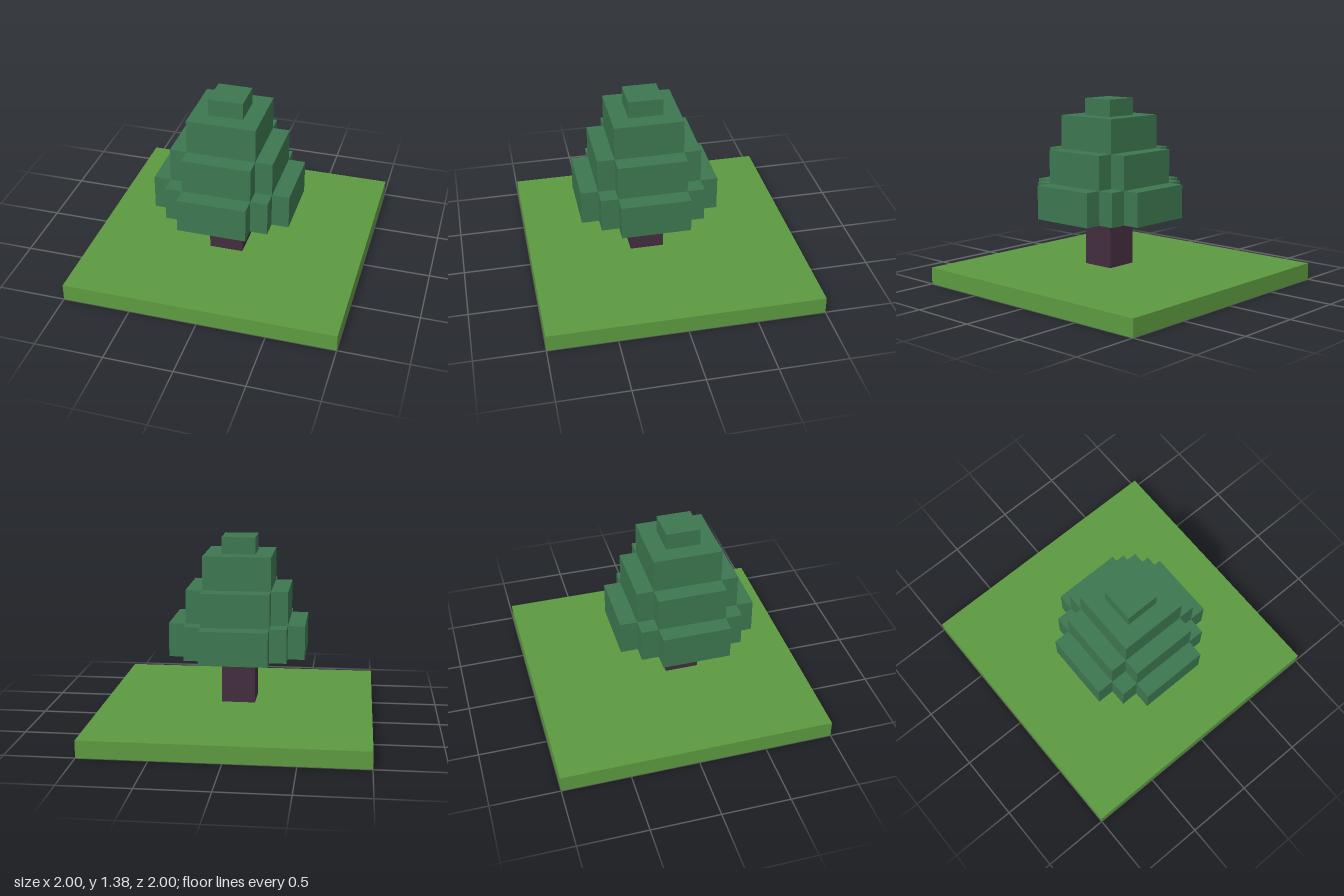
import * as THREE from 'three';

const U = 0.125; // one block

const grass = new THREE.MeshStandardMaterial({ color: 0x5d9a40 });
grass.name = 'grassGreen';
const bark = new THREE.MeshStandardMaterial({ color: 0x432d3f });
bark.name = 'barkBrown';
const leaf = new THREE.MeshStandardMaterial({ color: 0x3d7750 });
leaf.name = 'leafGreen';

function box(name, material, width, y0, y1) {
  const mesh = new THREE.Mesh(new THREE.BoxGeometry(width * U, (y1 - y0) * U, width * U), material);
  mesh.name = name;
  mesh.position.y = ((y0 + y1) / 2) * U;
  return mesh;
}

// Foliage layer: a square of half-width `outer` whose corners step in one block at a time to `inner`
function steppedLayer(name, outer, inner, y0, y1) {
  const quarter = [];
  for (let x = outer, z = inner; z <= outer; x--, z++) {
    quarter.push([x, z]);
    if (z < outer) quarter.push([x - 1, z]);
  }
  const outline = [];
  for (let turn = 0; turn < 4; turn++) {
    for (const [x, z] of quarter) {
      const p = new THREE.Vector2(x * U, z * U).rotateAround(new THREE.Vector2(), turn * Math.PI / 2);
      outline.push(p);
    }
  }
  const geometry = new THREE.ExtrudeGeometry(new THREE.Shape(outline), { depth: (y1 - y0) * U, bevelEnabled: false });
  geometry.rotateX(-Math.PI / 2);
  const mesh = new THREE.Mesh(geometry, leaf);
  mesh.name = name;
  mesh.position.y = y0 * U;
  return mesh;
}

export function createModel() {
  const model = new THREE.Group();
  model.name = 'blockTree';

  // Ground slab
  model.add(box('ground', grass, 16, 0, 1));

  // Tree stands one block forward of the centre
  const tree = new THREE.Group();
  tree.name = 'tree';
  tree.position.z = U;
  tree.add(box('trunk', bark, 2, 1, 4));
  tree.add(steppedLayer('lowerFoliage', 4, 2, 4, 6));
  tree.add(steppedLayer('middleFoliage', 3, 2, 6, 8));
  tree.add(box('upperFoliage', leaf, 4, 8, 10));
  tree.add(box('treeTop', leaf, 2, 10, 11));
  model.add(tree);

  return model;
}
